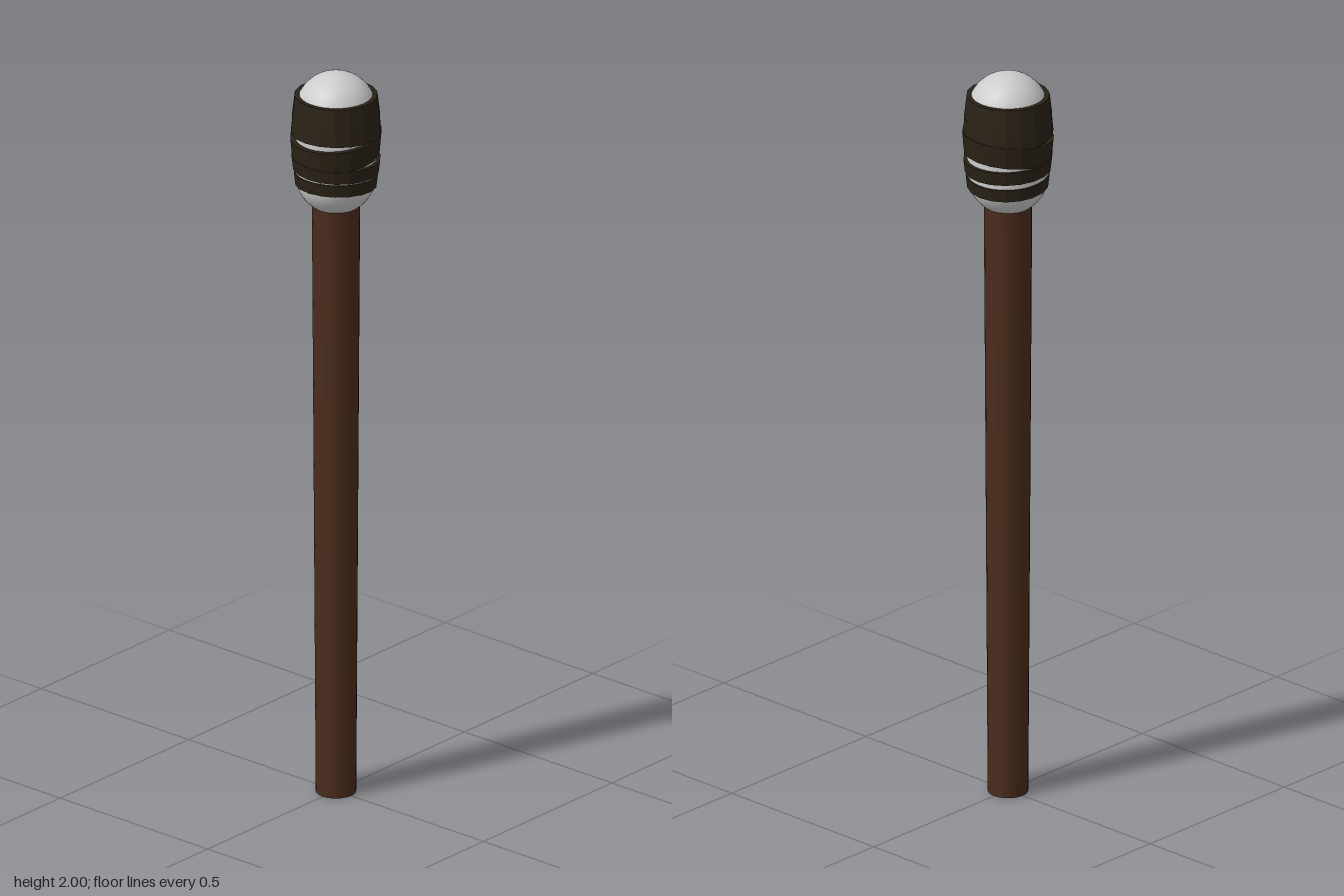
import * as THREE from 'three';

export function createModel() {
  const group = new THREE.Group();
  const wood = new THREE.MeshStandardMaterial({ color: 0x4a2c1c });
  const grey = new THREE.MeshStandardMaterial({ color: 0xcccccc });
  const cloth = new THREE.MeshStandardMaterial({ color: 0x2a2216, flatShading: true });

  const add = (name, geometry, material, y) => {
    const mesh = new THREE.Mesh(geometry, material);
    mesh.name = name;
    mesh.position.y = y;
    group.add(mesh);
    return mesh;
  };

  // tapered wooden shaft, reaching up into the head
  add('handle', new THREE.CylinderGeometry(0.062, 0.052, 1.66, 24), wood, 0.83);

  // rounded head: two hemispheres joined by a straight section
  add('head', new THREE.CapsuleGeometry(0.105, 0.175, 12, 32), grey, 1.8075);

  // cloth band: closed ring whose lower and upper radii follow the head,
  // sheared so it slopes along x and z like a wound strip
  const band = (height, rLow, rHigh, slopeX, slopeZ) => {
    const h = height / 2;
    const profile = [[0.094, -h], [rLow, -h], [rHigh, h], [0.094, h], [0.094, -h]]
      .map(([r, y]) => new THREE.Vector2(r, y));
    const geometry = new THREE.LatheGeometry(profile, 18);
    const p = geometry.attributes.position;
    for (let i = 0; i < p.count; i++) {
      p.setY(i, p.getY(i) + slopeX * p.getX(i) + slopeZ * p.getZ(i));
    }
    geometry.computeVertexNormals();
    return geometry;
  };

  // [centre y, height, lower radius, upper radius, slope x, slope z]
  const bands = [
    [1.912, 0.058, 0.114, 0.107, 0, 0],
    [1.863, 0.055, 0.117, 0.112, 0.02, 0.04],
    [1.803, 0.058, 0.113, 0.118, 0.02, -0.1],
    [1.752, 0.035, 0.111, 0.115, -0.02, 0.03],
    [1.708, 0.034, 0.105, 0.109, 0.02, 0.06],
  ];
  bands.forEach(([y, height, rLow, rHigh, sx, sz], i) => {
    add(`clothBand${i + 1}`, band(height, rLow, rHigh, sx, sz), cloth, y);
  });

  return group;
}
